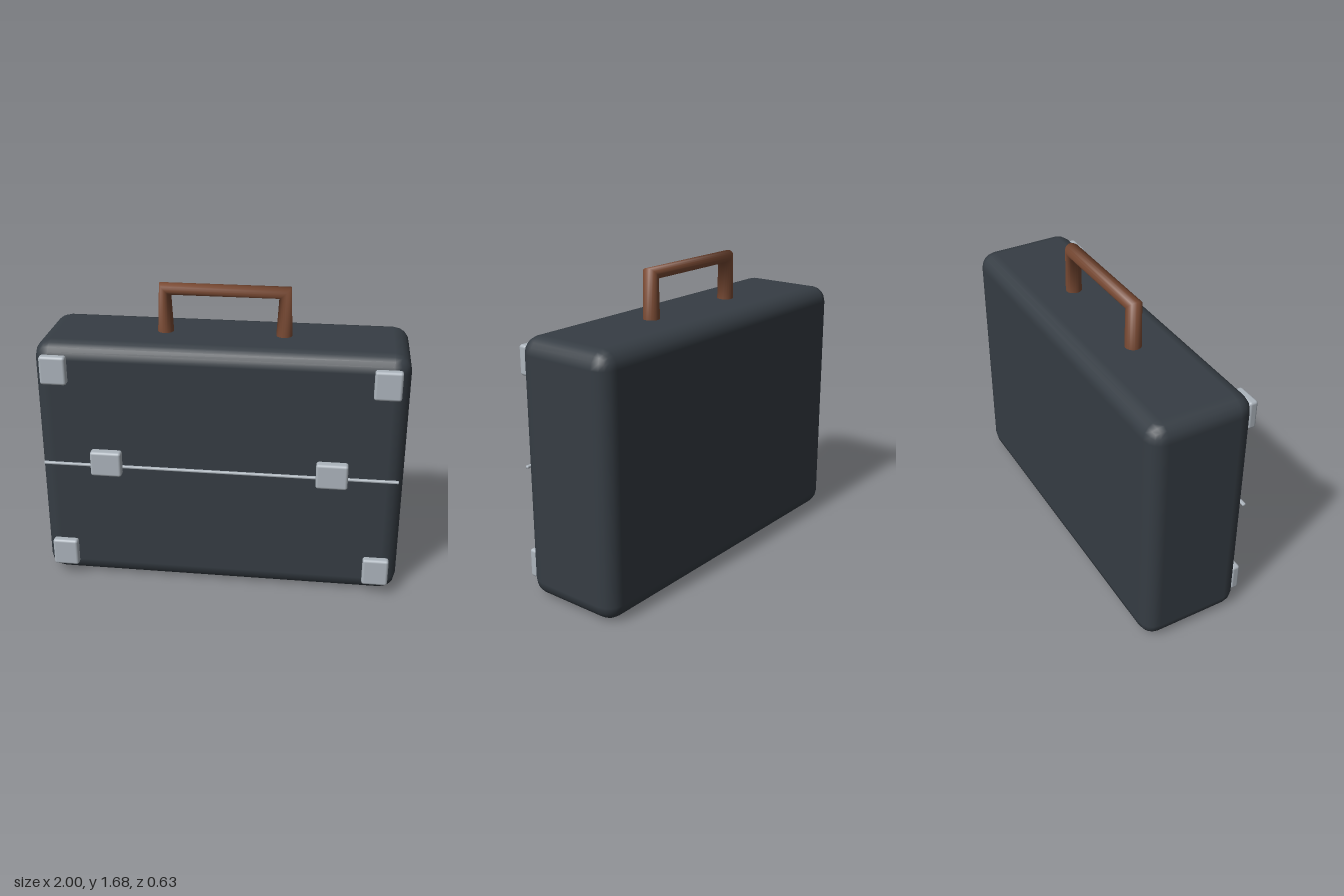
import * as THREE from 'three';
import { RoundedBoxGeometry } from 'three/addons/geometries/RoundedBoxGeometry.js';

const shell = new THREE.MeshStandardMaterial({ color: 0x363d44 });
shell.name = 'charcoal shell';
const metal = new THREE.MeshStandardMaterial({ color: 0xadb5bd });
metal.name = 'pale metal';
const leather = new THREE.MeshStandardMaterial({ color: 0x7b4b34 });
leather.name = 'brown leather';

function roundedBox(name, material, [w, h, d], [x, y, z], radius, segments = 2) {
  const mesh = new THREE.Mesh(new RoundedBoxGeometry(w, h, d, segments, radius), material);
  mesh.name = name;
  mesh.position.set(x, y, z);
  return mesh;
}

// A round bar bent through four rings; the corner rings are mitred at 45 degrees.
function handleGeometry() {
  const rings = [
    { x: 0.323, y: 1.39, turn: 0 },
    { x: 0.323, y: 1.647, turn: Math.PI / 4 },
    { x: -0.323, y: 1.647, turn: Math.PI * 3 / 4 },
    { x: -0.323, y: 1.39, turn: Math.PI },
  ];
  const geometry = new THREE.CylinderGeometry(0.045, 0.045, 3, 20, 3, false);
  const pos = geometry.attributes.position;
  const nor = geometry.attributes.normal;
  const axis = new THREE.Vector3(0, 0, 1);
  const p = new THREE.Vector3();
  const n = new THREE.Vector3();
  for (let i = 0; i < pos.count; i++) {
    p.fromBufferAttribute(pos, i);
    n.fromBufferAttribute(nor, i);
    const ring = rings[Math.round(p.y + 1.5)];
    p.y = 0;
    p.applyAxisAngle(axis, ring.turn);
    n.applyAxisAngle(axis, ring.turn);
    pos.setXYZ(i, p.x + ring.x, p.y + ring.y, p.z);
    nor.setXYZ(i, n.x, n.y, n.z);
  }
  return geometry;
}

export function createModel() {
  const group = new THREE.Group();
  group.name = 'briefcase';

  // Case body
  group.add(roundedBox('caseBody', shell, [2, 1.41, 0.582], [0, 0.705, -0.025], 0.09));

  // Carrying handle
  const handle = new THREE.Mesh(handleGeometry(), leather);
  handle.name = 'handle';
  handle.position.z = -0.024;
  group.add(handle);

  // Seam strip across the front
  group.add(roundedBox('seamStrip', metal, [1.95, 0.015, 0.02], [0, 0.71, 0.27], 0.006));

  for (const side of [-1, 1]) {
    const label = side > 0 ? 'left' : 'right';
    // Clasps over the seam
    group.add(roundedBox(label + 'Clasp', metal, [0.172, 0.145, 0.058], [side * 0.617, 0.738, 0.29], 0.015));
    // Corner guards
    for (const [level, y] of [['Lower', 0.15], ['Upper', 1.27]]) {
      group.add(roundedBox(label + level + 'CornerGuard', metal, [0.144, 0.16, 0.05], [side * 0.882, y, 0.281], 0.015));
    }
  }
  return group;
}
